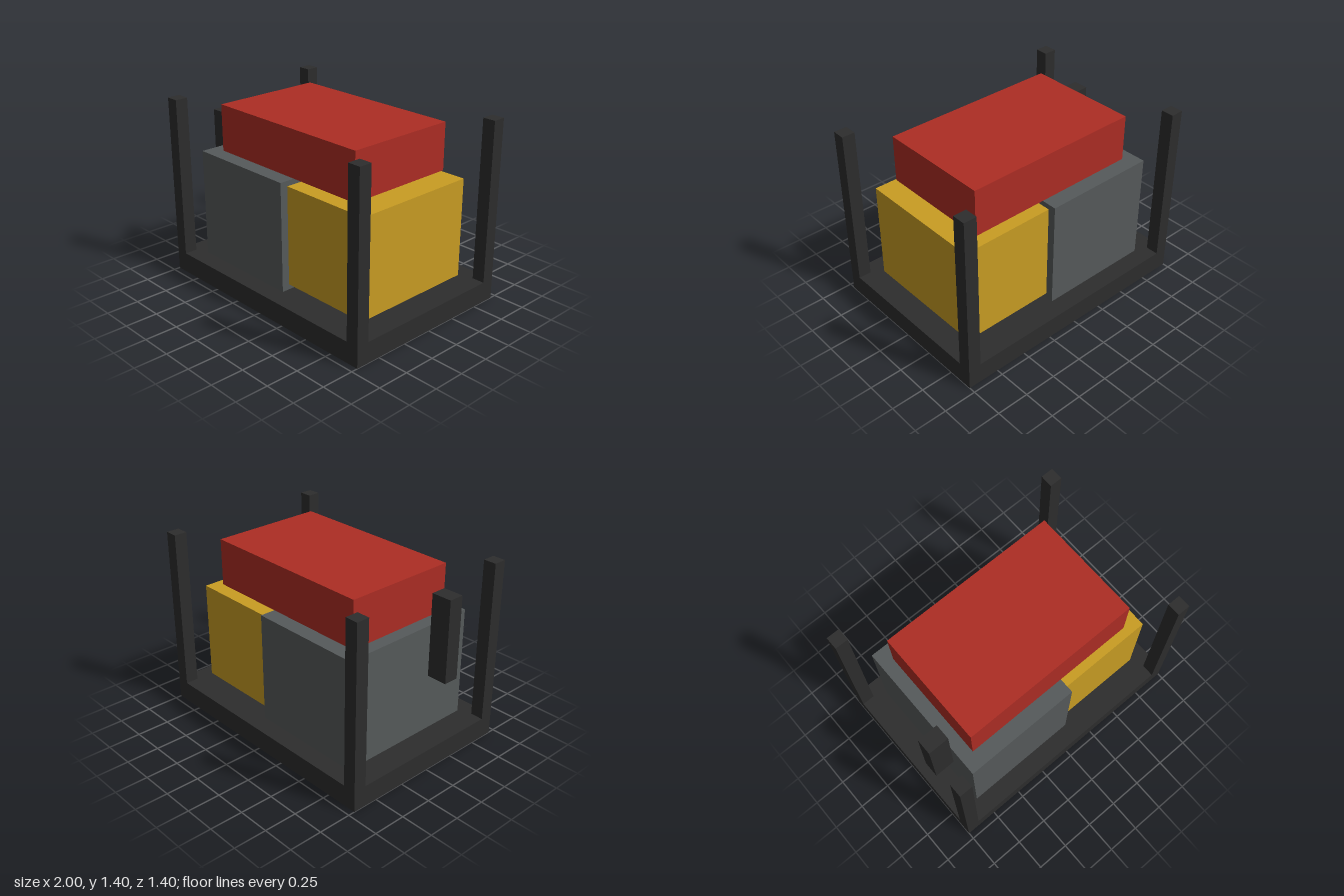
import * as THREE from 'three';

const paint = (name, color) => {
  const m = new THREE.MeshStandardMaterial({ color });
  m.name = name;
  return m;
};

export function createModel() {
  const model = new THREE.Group();
  model.name = 'framedMachine';

  const charcoal = paint('charcoal', 0x2d2d2d);
  const steel = paint('steelGrey', 0x565a5b);
  const yellow = paint('yellow', 0xc99d23);
  const red = paint('red', 0xad2d24);

  // Box given by its extents on each axis
  const block = (name, material, [x0, x1], [y0, y1], [z0, z1]) => {
    const mesh = new THREE.Mesh(new THREE.BoxGeometry(x1 - x0, y1 - y0, z1 - z0), material);
    mesh.position.set((x0 + x1) / 2, (y0 + y1) / 2, (z0 + z1) / 2);
    mesh.name = name;
    model.add(mesh);
  };

  // Base slab
  block('base', charcoal, [-1, 1], [0, 0.16], [-0.7, 0.7]);

  // Four corner posts standing on the base
  for (const [side, x] of [['Left', 0.95], ['Right', -0.95]]) {
    for (const [end, z] of [['front', 0.65], ['back', -0.65]]) {
      block(`${end}${side}Post`, charcoal, [x - 0.05, x + 0.05], [0.16, 1.4], [z - 0.05, z + 0.05]);
    }
  }

  // Engine block, generator housing raised off the base, and tank on top
  block('engineBlock', steel, [-0.8, 0.1], [0.16, 1], [-0.56, 0.56]);
  block('generatorHousing', yellow, [0.1, 0.84], [0.2, 0.96], [-0.5, 0.5]);
  block('tank', red, [-0.7, 0.7], [1, 1.36], [-0.44, 0.44]);

  // Exhaust on the right side of the engine
  block('exhaust', charcoal, [-0.96, -0.8], [0.6, 1.24], [0.2, 0.32]);

  return model;
}
